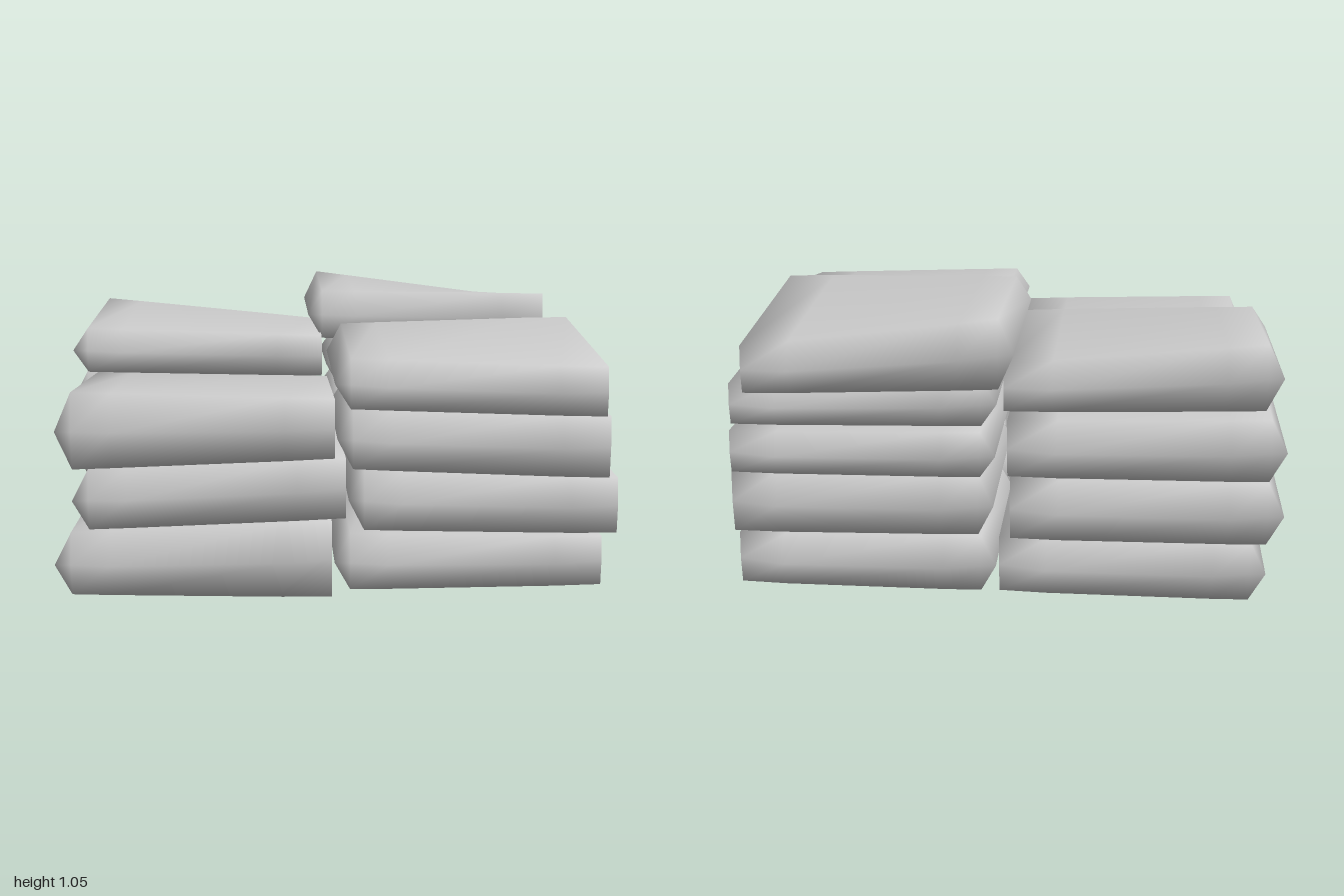
import * as THREE from 'three';
import { mergeVertices } from 'three/addons/utils/BufferGeometryUtils.js';

const material = new THREE.MeshStandardMaterial({ color: 0xcccccc });

// Cross-sections along a sack: [fraction of width, offset, z inset of flat faces, z inset of side seam, thickness]
const SECTIONS = [
  [0, 0, 0.035, 0.035, 0],
  [0, 0.055, 0.055, 0.03, 1],
  [0.2, 0, 0.05, 0, 1],
  [0.82, 0, 0.05, 0.005, 1],
  [1, 0, 0.06, 0.05, 1],
];

// Height inside four corner values ordered back -x, back +x, front +x, front -x
const blend = (h, u, v) =>
  (h[0] * (1 - u) + h[1] * u) * (1 - v) + (h[3] * (1 - u) + h[2] * u) * v;

// A stuffed sack: pointed seam at -x, bulging seams at front and back, flat end at +x
function sackGeometry([x0, x1, z0, z1], low, high) {
  const points = [];
  const index = [];
  for (const [f, offset, flatInset, seamInset, thick] of SECTIONS) {
    const x = x0 + (x1 - x0) * f + offset;
    const u = (x - x0) / (x1 - x0);
    const put = (z, side) => {
      const v = (z - z0) / (z1 - z0);
      const bottom = blend(low, u, v);
      const top = blend(high, u, v);
      points.push(x, (top + bottom) / 2 + (side * thick * (top - bottom)) / 2, z);
    };
    put(z0 + flatInset, 1);
    put(z0 + seamInset, 0);
    put(z0 + flatInset, -1);
    put(z1 - flatInset, -1);
    put(z1 - seamInset, 0);
    put(z1 - flatInset, 1);
  }
  for (let s = 0; s < SECTIONS.length - 1; s++) {
    for (let j = 0; j < 6; j++) {
      const a = s * 6 + j;
      const b = s * 6 + ((j + 1) % 6);
      index.push(a, b + 6, b, a, a + 6, b + 6);
    }
  }
  // flat end
  const e = (SECTIONS.length - 1) * 6;
  for (let j = 1; j < 5; j++) index.push(e, e + j + 1, e + j);

  const geometry = new THREE.BufferGeometry();
  geometry.setAttribute('position', new THREE.Float32BufferAttribute(points, 3));
  geometry.setIndex(index);
  const merged = mergeVertices(geometry, 1e-4);
  merged.computeVertexNormals();
  return merged;
}

// Each stack: floor corner heights, then per sack its [x0, x1, z0, z1] and top corner heights
const STACKS = {
  frontLeftStack: {
    floor: [0.02, 0.02, 0.03, 0.02],
    sacks: [
      [[0, 0.935, 0, 0.86], [0.25, 0.235, 0.2, 0.22]],
      [[0.05, 0.995, 0.02, 0.83], [0.48, 0.45, 0.4, 0.44]],
      [[0.01, 0.96, 0.02, 0.85], [0.67, 0.67, 0.62, 0.655]],
      [[0, 0.94, 0.01, 0.88], [0.89, 0.92, 0.79, 0.83]],
    ],
  },
  frontRightStack: {
    floor: [0.02, 0.01, 0, 0.02],
    sacks: [
      [[-0.96, -0.01, 0.01, 0.885], [0.24, 0.25, 0.27, 0.235]],
      [[-0.9, 0.04, 0.01, 0.86], [0.47, 0.47, 0.485, 0.45]],
      [[-0.95, 0, 0.01, 0.89], [0.7, 0.68, 0.695, 0.725]],
    ],
  },
  backRightStack: {
    floor: [0.02, 0.02, 0.02, 0.02],
    sacks: [
      [[-0.95, -0.01, -0.82, 0], [0.24, 0.23, 0.23, 0.24]],
      [[-1, -0.05, -0.84, 0], [0.47, 0.46, 0.46, 0.47]],
      [[-1, -0.04, -0.83, 0.03], [0.7, 0.67, 0.68, 0.7]],
      [[-0.985, -0.02, -0.745, 0.13], [0.95, 0.85, 0.84, 0.87]],
    ],
  },
  backLeftStack: {
    floor: [0.02, 0.02, 0.015, 0.02],
    sacks: [
      [[0, 0.93, -0.82, -0.01], [0.23, 0.21, 0.235, 0.24]],
      [[0.01, 0.95, -0.81, 0], [0.46, 0.45, 0.45, 0.46]],
      [[0, 0.94, -0.84, 0], [0.63, 0.61, 0.59, 0.62]],
      [[0, 0.95, -0.78, 0.04], [0.8, 0.76, 0.79, 0.82]],
      [[-0.07, 0.87, -0.89, 0], [1.06, 0.93, 1.0, 1.005]],
    ],
  },
};

export function createModel() {
  const model = new THREE.Group();
  model.name = 'sackPile';
  for (const [name, { floor, sacks }] of Object.entries(STACKS)) {
    const stack = new THREE.Group();
    stack.name = name;
    let low = floor;
    for (const [bounds, high] of sacks) {
      const sack = new THREE.Mesh(sackGeometry(bounds, low, high), material);
      sack.name = 'sack';
      stack.add(sack);
      low = high.map((h) => h + 0.004);
    }
    model.add(stack);
  }
  return model;
}
